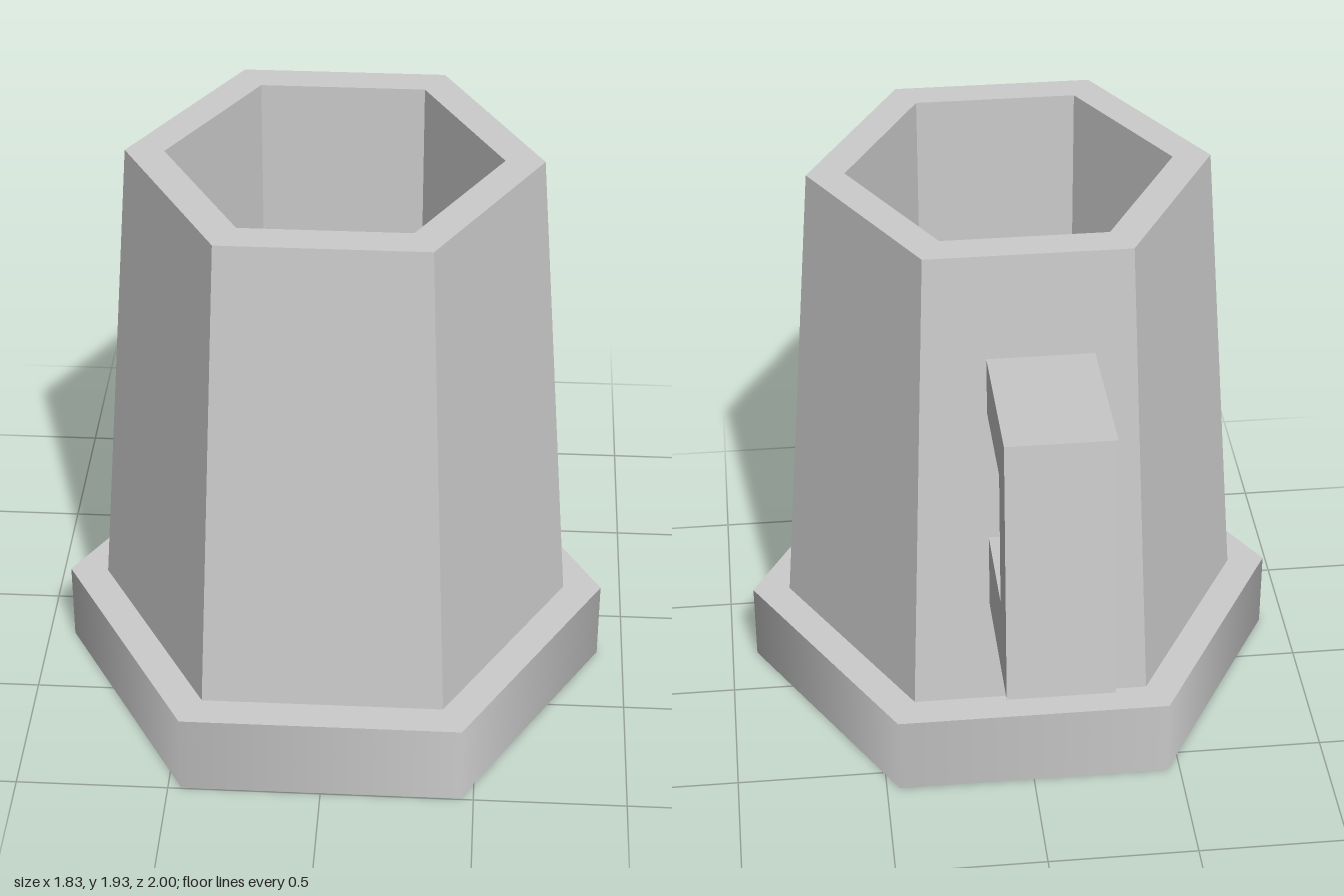
import * as THREE from 'three';

const SIDES = 6;
const CENTER_Z = 0.205; // the hexagonal axis sits ahead of the origin
const BASE_H = 0.28;
const TOP_Y = 1.935;

export function createModel() {
  const model = new THREE.Group();
  model.name = 'tankard';
  const smooth = new THREE.MeshStandardMaterial({ color: 0xcccccc });
  const flat = new THREE.MeshStandardMaterial({ color: 0xcccccc, flatShading: true });

  const add = (name, geometry, material) => {
    const mesh = new THREE.Mesh(geometry, material);
    mesh.name = name;
    model.add(mesh);
    return mesh;
  };

  // Hexagonal foot, shaded smoothly around its sides
  const base = add('base',
    new THREE.CylinderGeometry(0.913, 0.913, BASE_H, SIDES, 1, false, Math.PI / 2), smooth);
  base.position.set(0, BASE_H / 2, CENTER_Z);

  // Tapered hollow body: outer wall, rim, straight inner wall, floor
  const profile = [
    [0.785, BASE_H], [0.66, TOP_Y], [0.535, TOP_Y], [0.535, BASE_H + 0.01], [0, BASE_H + 0.01],
  ].map(([r, y]) => new THREE.Vector2(r, y));
  const body = add('body', new THREE.LatheGeometry(profile, SIDES, Math.PI / 2), flat);
  body.position.z = CENTER_Z;

  // Angular handle at the back: C outline in (-z, y), extruded across x
  const outline = [
    [0.39, 1.575], [0.40, 1.38], [0.785, 1.405], [0.815, 0.94],
    [0.434, 0.915], [0.451, 0.655], [1.0, 0.695], [0.935, 1.61],
  ].map(([s, y]) => new THREE.Vector2(s, y));
  const handleGeometry = new THREE.ExtrudeGeometry(new THREE.Shape(outline),
    { depth: 0.345, bevelEnabled: false });
  handleGeometry.rotateY(Math.PI / 2);
  const handle = add('handle', handleGeometry, flat);
  handle.position.x = -0.21;

  return model;
}
